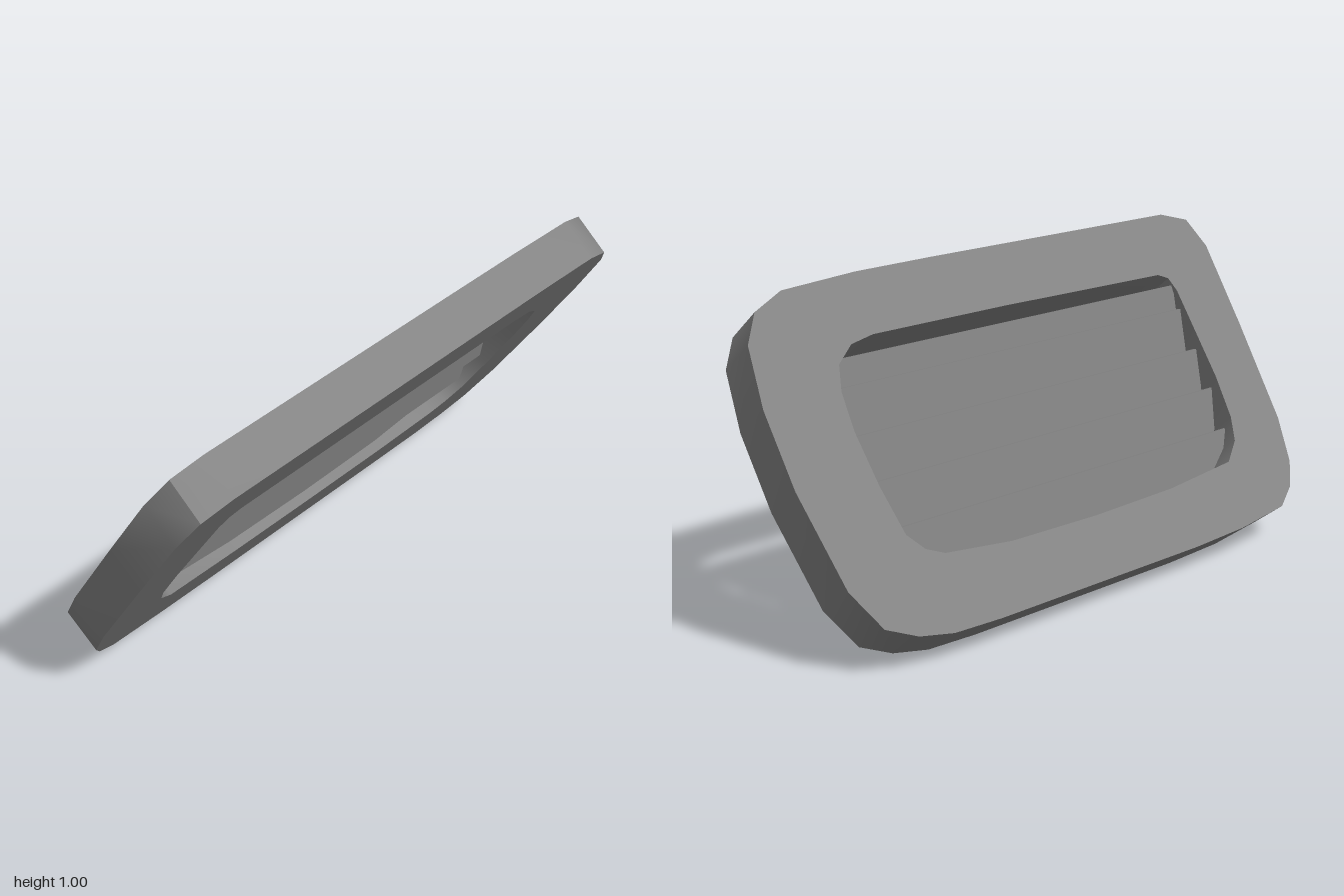
import * as THREE from 'three';
import { toCreasedNormals } from 'three/addons/utils/BufferGeometryUtils.js';

const TILT = 0.59; // the panel leans forward at the top
const FRONT = 0.074, BACK = -0.065; // frame faces, along the panel's normal

// Outline points as projected onto the vertical, converted to heights on the tilted front face
const onPanel = pts => pts.map(([x, y]) =>
  new THREE.Vector2(x, (y - 0.5 + FRONT * Math.sin(TILT)) / Math.cos(TILT)));

const OUTER = onPanel([
  [-0.85, 0.905], [-0.96, 0.877], [-1, 0.79], [-0.99, 0.55], [-0.968, 0.26], [-0.93, 0.135],
  [-0.88, 0.07], [-0.8, 0.025], [-0.58, 0.006], [-0.35, 0], [0.5, 0], [0.68, 0.005], [0.8, 0.025],
  [0.9, 0.065], [0.965, 0.17], [1, 0.42], [0.995, 0.62], [0.96, 0.775], [0.895, 0.85],
  [0.78, 0.89], [0.5, 0.903], [0.2, 0.905]]);

const HOLE = onPanel([
  [-0.765, 0.68], [-0.75, 0.72], [-0.71, 0.735], [0, 0.741], [0.53, 0.74], [0.62, 0.727],
  [0.69, 0.685], [0.72, 0.62], [0.732, 0.52], [0.725, 0.38], [0.705, 0.255], [0.66, 0.21],
  [0.6, 0.187], [0.35, 0.165], [0, 0.16], [-0.35, 0.165], [-0.65, 0.185], [-0.72, 0.235],
  [-0.75, 0.3], [-0.765, 0.42]]);

export function createModel() {
  const group = new THREE.Group();
  group.name = 'ventGrille';
  const material = new THREE.MeshStandardMaterial({ color: 0x848484 });

  // Frame: rounded outline with an opening, slightly larger and higher at the back
  const shape = new THREE.Shape(OUTER);
  shape.holes.push(new THREE.Path(HOLE));
  const geometry = new THREE.ExtrudeGeometry(shape, { depth: FRONT - BACK, bevelEnabled: false });
  geometry.translate(0, 0, BACK);
  const p = geometry.attributes.position;
  for (let i = 0; i < p.count; i++) {
    if (p.getZ(i) < 0) p.setY(i, p.getY(i) * 1.01 + 0.011);
  }
  const frame = new THREE.Mesh(toCreasedNormals(geometry, 0.8), material);
  frame.name = 'frame';
  frame.position.y = 0.5;
  frame.rotation.x = TILT;
  group.add(frame);

  // Slats: thin boards leaning slightly forward, stepping forward as they rise;
  // each is [bottom height, middle z]
  const slats = new THREE.Group();
  slats.name = 'slats';
  const height = 0.18, lean = 0.2, left = 0.717, right = -0.768;
  const board = new THREE.BoxGeometry(left - right, height, 0.01);
  [[0.165, -0.153], [0.285, -0.073], [0.405, 0], [0.53, 0.073], [0.605, 0.108]].forEach(([y, z], i) => {
    const slat = new THREE.Mesh(board, material);
    slat.name = `slat${i + 1}`;
    slat.position.set((left + right) / 2, y + height / 2, z);
    slat.rotation.x = lean;
    slats.add(slat);
  });
  group.add(slats);

  return group;
}
